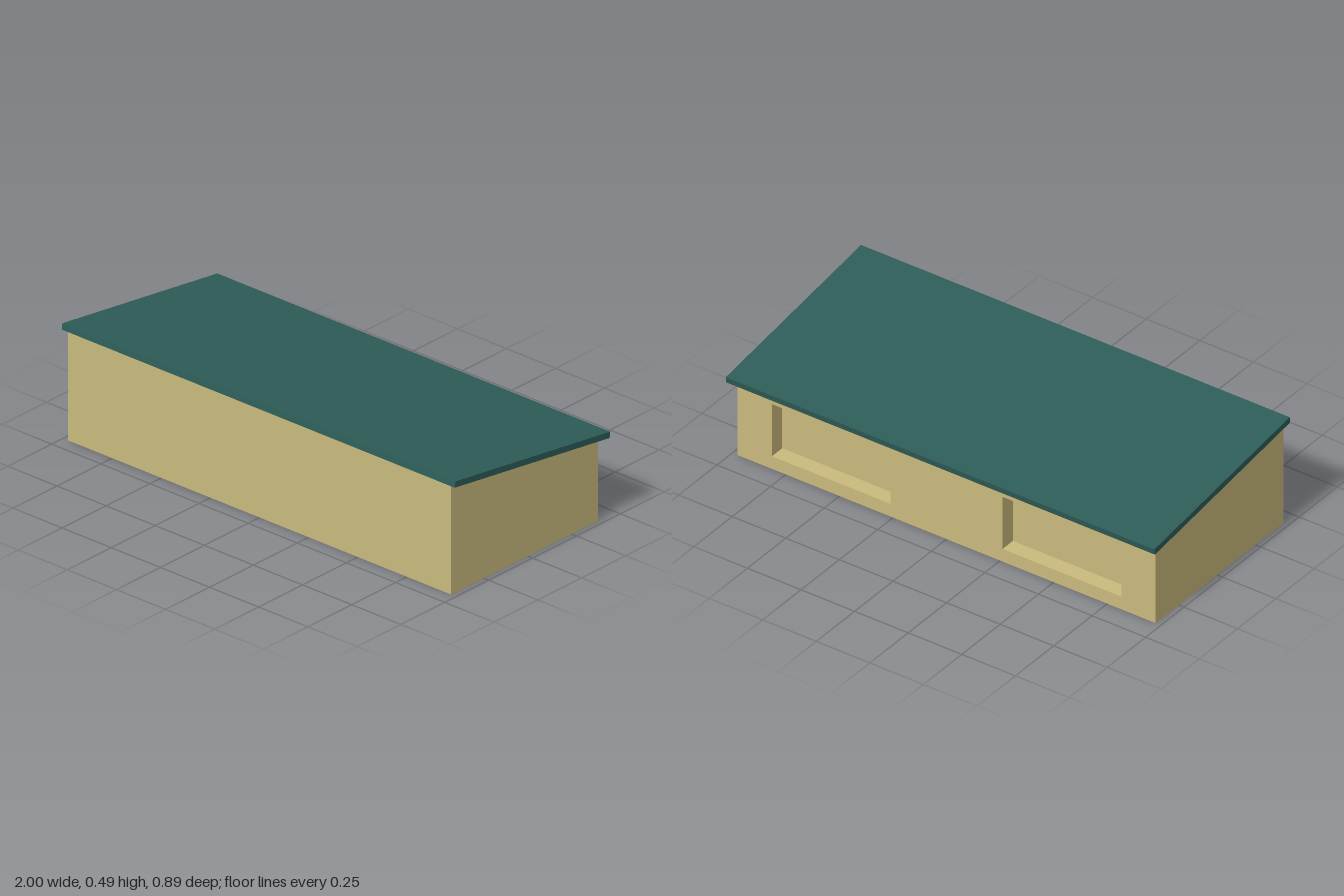
import * as THREE from 'three';

export function createModel() {
  const group = new THREE.Group();
  const wallTan = new THREE.MeshStandardMaterial({ color: 0xc9ba7d });
  wallTan.name = 'wallTan';
  const roofGreen = new THREE.MeshStandardMaterial({ color: 0x2e5d58 });
  roofGreen.name = 'roofGreen';

  const halfWidth = 0.975, front = 0.435, back = -0.4, recessDepth = 0.067;
  const inner = back + recessDepth;
  const slope = 0.136;
  const underRoof = (z) => 0.405 + slope * z;

  const add = (name, geometry, material) => {
    const mesh = new THREE.Mesh(geometry, material);
    mesh.name = name;
    group.add(mesh);
    return mesh;
  };

  // Main body: sloped side profile extruded across the width
  const profile = new THREE.Shape([
    new THREE.Vector2(-front, 0),
    new THREE.Vector2(-inner, 0),
    new THREE.Vector2(-inner, underRoof(inner)),
    new THREE.Vector2(-front, underRoof(front)),
  ]);
  const body = new THREE.ExtrudeGeometry(profile, { depth: halfWidth * 2, bevelEnabled: false });
  body.rotateY(Math.PI / 2).translate(-halfWidth, 0, 0);
  add('body', body, wallTan);

  // Back wall with two window recesses
  const rectangle = (x0, y0, x1, y1) => [
    new THREE.Vector2(x0, y0), new THREE.Vector2(x1, y0),
    new THREE.Vector2(x1, y1), new THREE.Vector2(x0, y1),
  ];
  const wall = new THREE.Shape(rectangle(-halfWidth, 0, halfWidth, underRoof(inner)));
  for (const x of [-0.538, 0.538]) {
    wall.holes.push(new THREE.Path(rectangle(x - 0.277, 0.058, x + 0.277, 0.297)));
  }
  const backWall = new THREE.ExtrudeGeometry(wall, { depth: recessDepth, bevelEnabled: false });
  backWall.translate(0, 0, back);
  add('backWall', backWall, wallTan);

  // Overhanging roof slab, higher at the front
  const roof = add('roof', new THREE.BoxGeometry(2, 0.026, 0.89), roofGreen);
  roof.position.y = 0.418;
  roof.rotation.x = -Math.atan(slope);

  return group;
}
